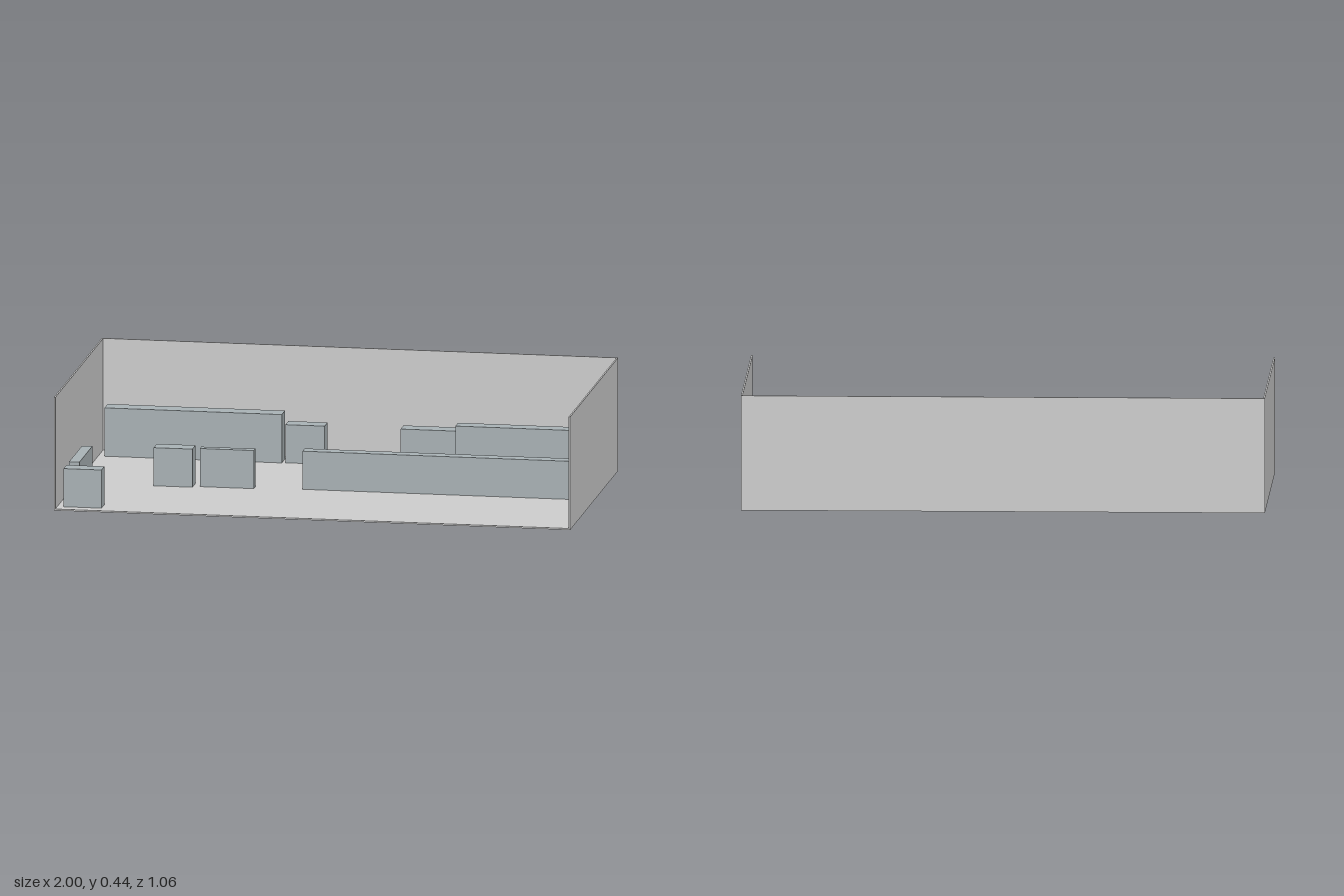
import * as THREE from 'three';

export function createModel() {
  const group = new THREE.Group();
  group.name = 'openRoom';
  const shellMat = new THREE.MeshStandardMaterial({ color: 0xcccccc });
  const unitMat = new THREE.MeshStandardMaterial({ color: 0xa8b1b4 });

  // Box given by its extents on each axis
  function block(name, [x0, x1], [y0, y1], [z0, z1], material) {
    const mesh = new THREE.Mesh(new THREE.BoxGeometry(x1 - x0, y1 - y0, z1 - z0), material);
    mesh.position.set((x0 + x1) / 2, (y0 + y1) / 2, (z0 + z1) / 2);
    mesh.name = name;
    group.add(mesh);
  }

  // Room shell: floor and three thin walls, open at the front
  const W = 1, D = 0.532, H = 0.442, T = 0.006;
  block('floor', [-W + T, W - T], [0, T], [-D + T, D], shellMat);
  block('backWall', [-W, W], [0, H], [-D, -D + T], shellMat);
  block('leftWall', [W - T, W], [0, H], [-D + T, D], shellMat);
  block('rightWall', [-W, -W + T], [0, H], [-D + T, D], shellMat);

  // Furniture units: name, x range, z range, top height
  const low = 0.155, tall = 0.195;
  const units = [
    ['backLongCabinet', [-0.97, -0.283], [-0.487, -0.417], tall],
    ['backSmallCabinet', [-0.27, -0.118], [-0.487, -0.422], low],
    ['backMidCabinet', [0.176, 0.401], [-0.487, -0.422], low],
    ['tallCounter', [0.404, 0.856], [-0.391, -0.332], tall],
    ['shortCounter', [-0.125, 0.178], [-0.022, 0.027], low],
    ['longCounter', [0.178, 0.952], [-0.022, 0.027], low],
    ['centreCabinet', [-0.695, -0.545], [-0.005, 0.064], low],
    ['centreBench', [-0.519, -0.31], [0.015, 0.048], low],
    ['sideShelf', [-0.97, -0.93], [0.078, 0.364], low],
    ['frontCornerCabinet', [-0.97, -0.823], [0.422, 0.487], low],
  ];
  for (const [name, x, z, top] of units) block(name, x, [T, top], z, unitMat);

  return group;
}
